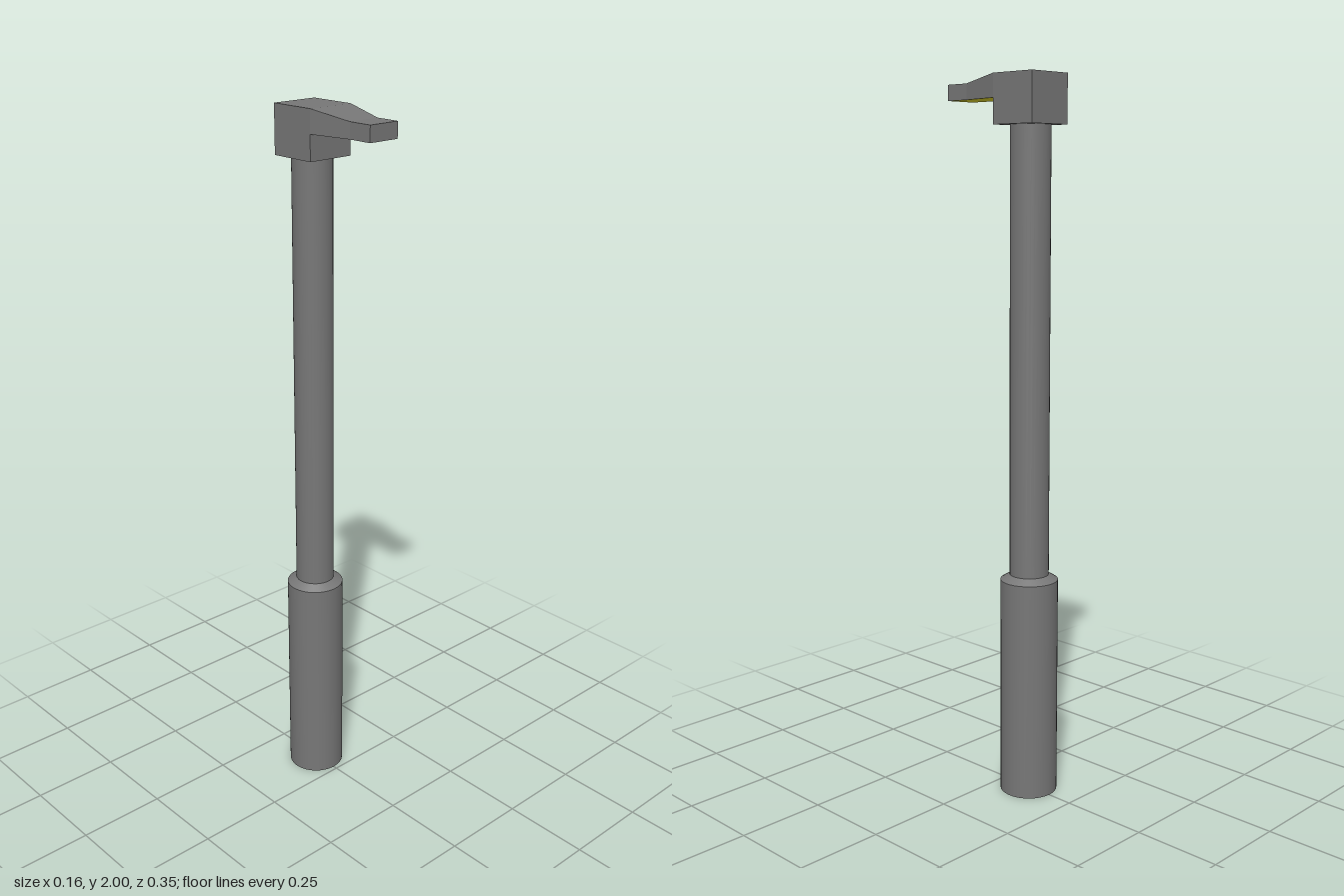
import * as THREE from 'three';

const metal = new THREE.MeshStandardMaterial({ color: 0x777777 });
metal.name = 'grey metal';
const glow = new THREE.MeshStandardMaterial({ color: 0xe0d62c });
glow.name = 'yellow light';

const POLE_Z = -0.093;

// Sections of the lamp arm from head to tip: z, half width, top height
const ARM = [[-0.022, 0.069, 2.0], [0.1, 0.047, 1.98], [0.172, 0.047, 1.98]];
const ARM_BOTTOM = 1.937;

// Flat-sided mesh from four-cornered faces, counter-clockwise from outside
function quadMesh(name, quads, material) {
  const points = quads.flatMap(([a, b, c, d]) => [a, b, c, a, c, d]).flat();
  const geometry = new THREE.BufferGeometry();
  geometry.setAttribute('position', new THREE.Float32BufferAttribute(points, 3));
  geometry.computeVertexNormals();
  const mesh = new THREE.Mesh(geometry, material);
  mesh.name = name;
  return mesh;
}

function cylinder(name, top, bottom, y0, y1, open = false) {
  const geometry = new THREE.CylinderGeometry(top, bottom, y1 - y0, 32, 1, open);
  const mesh = new THREE.Mesh(geometry, metal);
  mesh.position.set(0, (y0 + y1) / 2, POLE_Z);
  mesh.name = name;
  return mesh;
}

export function createModel() {
  const lamp = new THREE.Group();
  lamp.name = 'streetLamp';

  // Base sleeve, its bevelled shoulder and the pole
  lamp.add(cylinder('base', 0.081, 0.081, 0, 0.625));
  lamp.add(cylinder('baseShoulder', 0.057, 0.081, 0.625, 0.64));
  lamp.add(cylinder('pole', 0.055, 0.055, 0.63, 1.88));

  // Square head on top of the pole
  const head = new THREE.Mesh(new THREE.BoxGeometry(0.138, 0.132, 0.139), metal);
  head.position.set(0, 1.934, -0.0915);
  head.name = 'head';
  lamp.add(head);

  // Tapering arm, with a glowing panel as its underside
  const shell = [];
  const panel = [];
  const corners = ([z, w, top]) => [
    [-w, ARM_BOTTOM, z], [w, ARM_BOTTOM, z], [w, top, z], [-w, top, z],
  ];
  for (let i = 0; i < ARM.length - 1; i++) {
    const a = corners(ARM[i]);
    const b = corners(ARM[i + 1]);
    for (let k = 0; k < 4; k++) {
      const n = (k + 1) % 4;
      (k === 0 ? panel : shell).push([a[k], a[n], b[n], b[k]]);
    }
  }
  shell.push(corners(ARM[ARM.length - 1]));
  lamp.add(quadMesh('arm', shell, metal));
  lamp.add(quadMesh('lightPanel', panel, glow));

  return lamp;
}
